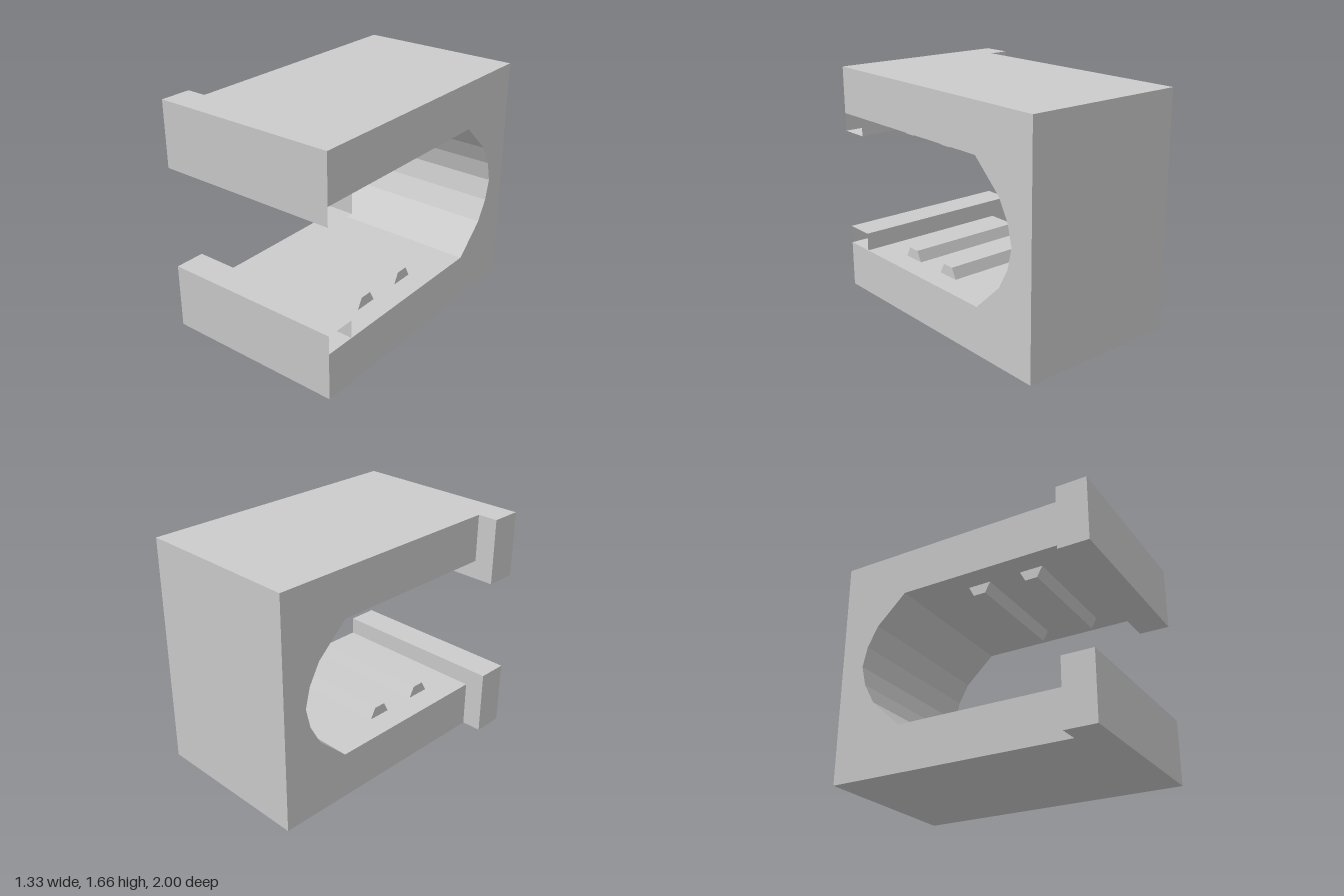
import * as THREE from 'three';

const H = 1.66, ARM = 0.335, LIP = 0.465;   // total height, arm thickness, lip height
const X0 = -0.52, X1 = 0.66, TAB_X = -0.665; // body sides and tab end
const LIP_Z = 0.78;

const material = new THREE.MeshStandardMaterial({ color: 0xcccccc, flatShading: true });
const openMaterial = new THREE.MeshStandardMaterial({ color: 0xcccccc, flatShading: true, side: THREE.DoubleSide });

// Extrude a [z, y] outline along x, from x0 to x1
function extrudeX(points, x0, x1) {
  const shape = new THREE.Shape(points.map(([z, y]) => new THREE.Vector2(-z, y)));
  const geometry = new THREE.ExtrudeGeometry(shape, { depth: x1 - x0, bevelEnabled: false });
  return geometry.rotateY(Math.PI / 2).translate(x0, 0, 0);
}

// Box given by its limits
function boxBetween(x0, x1, y0, y1, z0, z1) {
  return new THREE.BoxGeometry(x1 - x0, y1 - y0, z1 - z0)
    .translate((x0 + x1) / 2, (y0 + y1) / 2, (z0 + z1) / 2);
}

export function createModel() {
  const group = new THREE.Group();
  const add = (name, geometry, mat = material) => {
    const mesh = new THREE.Mesh(geometry, mat);
    mesh.name = name;
    group.add(mesh);
  };

  // C-shaped body with a faceted throat
  const lower = [[1, ARM], [-0.49, ARM], [-0.71, 0.54], [-0.79, 0.685]];
  const upper = lower.map(([z, y]) => [z, H - y]).reverse();
  add('body', extrudeX([[1, 0], ...lower, [-0.825, H / 2], ...upper, [1, H], [-1, H], [-1, 0]], X0, X1));

  for (const top of [false, true]) {
    const side = top ? 'upper' : 'lower';
    const flip = (y) => (top ? H - y : y);
    const span = (a, b) => [flip(a), flip(b)].sort((p, q) => p - q);

    // Tab beside the mouth
    add(side + 'Tab', boxBetween(TAB_X, X0, ...span(0, LIP), LIP_Z, 1));

    // Hollow lip, open at its +x end: keep inner, front and back faces
    const lip = boxBetween(X0, X1, ...span(ARM, LIP), LIP_Z, 1);
    const index = Array.from(lip.index.array);
    const inner = top ? 18 : 12;
    lip.setIndex([...index.slice(inner, inner + 6), ...index.slice(24, 36)]);
    lip.clearGroups();
    add(side + 'Lip', lip, openMaterial);

    // Gripping ridges
    for (const z of [0.425, 0.02]) {
      const outline = [[0.085, ARM], [0.045, 0.41], [-0.045, 0.41], [-0.085, ARM]]
        .map(([dz, y]) => [z + dz, flip(y)]);
      add(side + 'Ridge', extrudeX(outline, -0.35, 0.5));
    }
  }
  return group;
}
